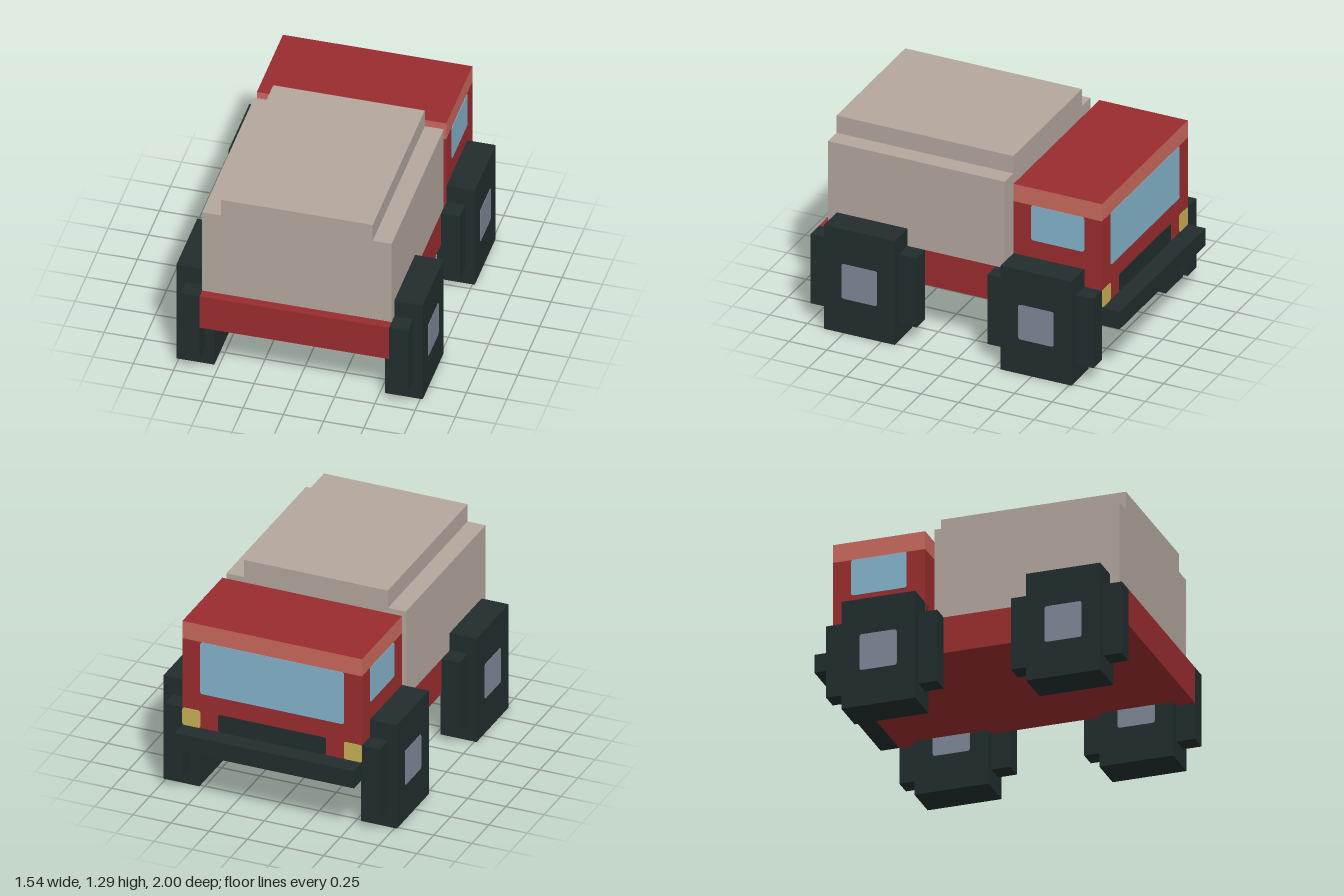
import * as THREE from 'three';

const U = 1 / 17; // modelling unit: the truck is 34 units long

export function createModel() {
  const mat = (name, color) => {
    const m = new THREE.MeshStandardMaterial({ color });
    m.name = name;
    return m;
  };
  const red = mat('red paint', 0x9a2c2e);
  const lightRed = mat('light red trim', 0xc9695d);
  const tan = mat('tan canvas', 0xb3a69d);
  const dark = mat('dark rubber', 0x222d2d);
  const glass = mat('blue glass', 0x84b3ca);
  const steel = mat('grey hub', 0x7f8797);
  const yellow = mat('yellow lamp', 0xc5b054);

  const truck = new THREE.Group();
  truck.name = 'truck';

  // Box from minimum to maximum corner, in units
  function box(name, material, [x0, y0, z0], [x1, y1, z1], parent = truck) {
    const geo = new THREE.BoxGeometry((x1 - x0) * U, (y1 - y0) * U, (z1 - z0) * U);
    const mesh = new THREE.Mesh(geo, material);
    mesh.name = name;
    mesh.position.set((x0 + x1) / 2 * U, (y0 + y1) / 2 * U, (z0 + z1) / 2 * U);
    parent.add(mesh);
    return mesh;
  }

  // Thin painted panel with softened corners, turned about y to face outwards
  function panel(name, material, w, h, center, turn, parent = truck) {
    const x = w * U / 2, y = h * U / 2, r = 0.015;
    const s = new THREE.Shape();
    s.moveTo(-x + r, -y);
    s.lineTo(x - r, -y);
    s.quadraticCurveTo(x, -y, x, -y + r);
    s.lineTo(x, y - r);
    s.quadraticCurveTo(x, y, x - r, y);
    s.lineTo(-x + r, y);
    s.quadraticCurveTo(-x, y, -x, y - r);
    s.lineTo(-x, -y + r);
    s.quadraticCurveTo(-x, -y, -x + r, -y);
    const geo = new THREE.ExtrudeGeometry(s, { depth: 0.003, bevelEnabled: false, curveSegments: 3 });
    const mesh = new THREE.Mesh(geo, material);
    mesh.name = name;
    mesh.position.set(center[0] * U, center[1] * U, center[2] * U);
    mesh.rotation.y = turn;
    parent.add(mesh);
  }

  // Body
  box('chassis', red, [-10, 6, -15], [10, 10, 17]);
  box('cab', red, [-10, 10, -15], [10, 18, -5]);
  box('cabRoof', [lightRed, lightRed, red, red, lightRed, lightRed], [-10, 18, -15], [10, 20, -5]);
  box('cargoCover', tan, [-10, 10, -4], [10, 20, 16]);
  box('cargoCoverTop', tan, [-8, 20, -4], [8, 22, 16]);
  box('bumper', dark, [-10, 6, -17], [10, 8, -15]);

  // Cab face
  panel('windscreen', glass, 16, 6, [0, 15, -15], Math.PI);
  panel('grille', dark, 12, 2, [0, 9, -15], Math.PI);

  for (const side of [1, -1]) {
    panel('headlight', yellow, 2, 2, [side * 9, 9, -15], Math.PI);
    panel('sideWindow', glass, 6, 4, [side * 10, 16, -10], side * Math.PI / 2);

    // Wheels: a tall tyre block crossed by a long one, with a hub on each face
    for (const z of [11, -9]) {
      const wheel = new THREE.Group();
      wheel.name = 'wheel';
      wheel.position.set(side * 11 * U, 6 * U, z * U);
      box('tyreTall', dark, [-2, -6, -4], [2, 6, 4], wheel);
      box('tyreLong', dark, [-1, -4, -6], [1, 4, 6], wheel);
      panel('hub', steel, 4, 4, [2, 0, 0], Math.PI / 2, wheel);
      panel('hub', steel, 4, 4, [-2, 0, 0], -Math.PI / 2, wheel);
      truck.add(wheel);
    }
  }
  return truck;
}
